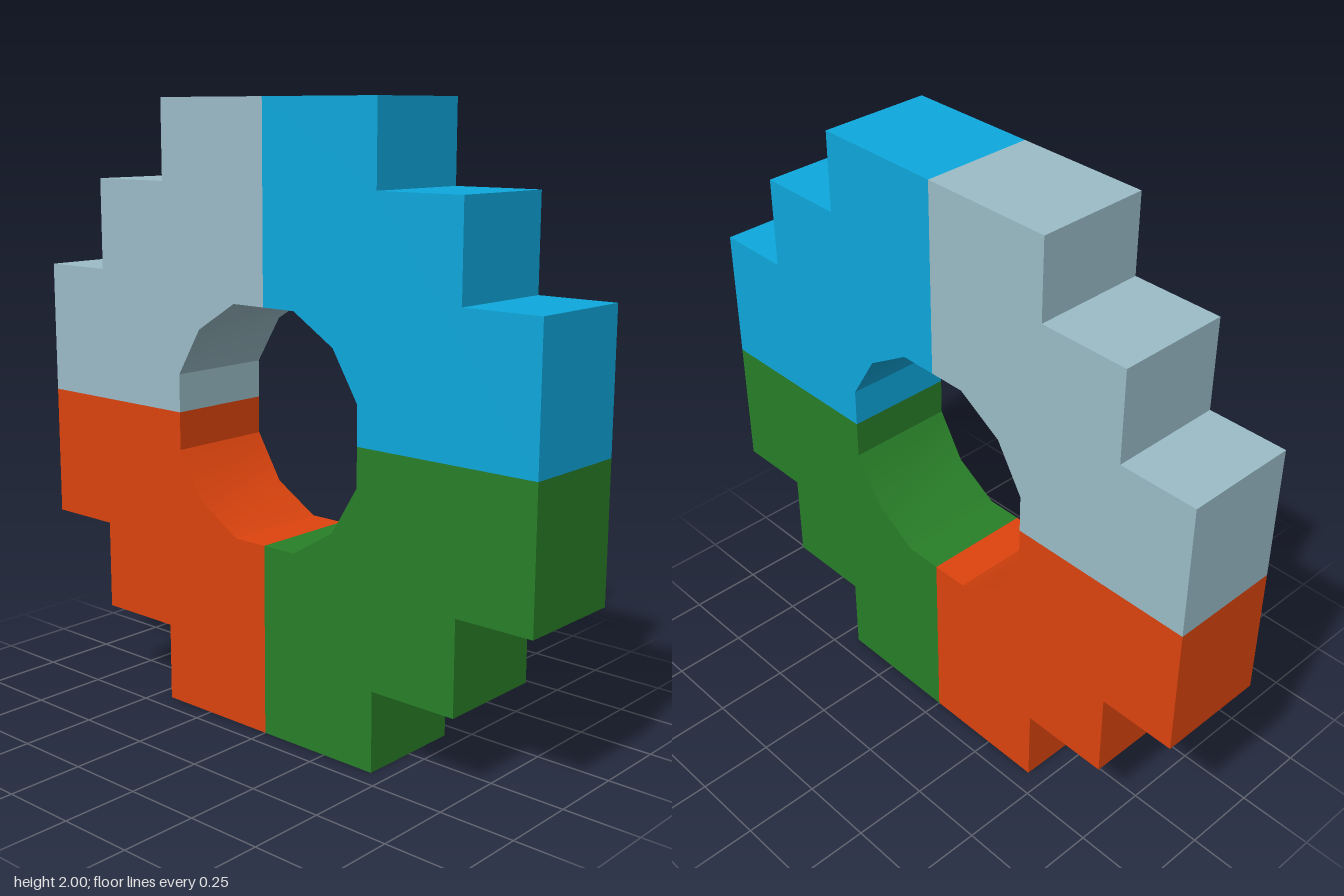
import * as THREE from 'three';
import { toCreasedNormals } from 'three/addons/utils/BufferGeometryUtils.js';

const DEPTH = 0.37;

// Outline of one quarter: stepped outer edge, then the faceted bore
const QUARTER = [
  [0.375, 0], [1, 0], [1, 0.44], [0.74, 0.44], [0.74, 0.74], [0.44, 0.74],
  [0.44, 1], [0, 1], [0, 0.375], [0.125, 0.375], [0.28, 0.28], [0.375, 0.125],
];

// Mirror the quarter outline into the quadrant given by the signs and extrude it
function makeQuarter(name, sx, sy, color) {
  const shape = new THREE.Shape(QUARTER.map(([x, y]) => new THREE.Vector2(x * sx, y * sy)));
  const extruded = new THREE.ExtrudeGeometry(shape, { depth: DEPTH, bevelEnabled: false });
  extruded.translate(0, 1, -DEPTH / 2);
  // Only the gentle facets in the bore are smoothed
  const geometry = toCreasedNormals(extruded, THREE.MathUtils.degToRad(30));
  const mesh = new THREE.Mesh(geometry, new THREE.MeshStandardMaterial({ color }));
  mesh.name = name;
  return mesh;
}

export function createModel() {
  const group = new THREE.Group();
  group.name = 'steppedRing';
  group.add(
    makeQuarter('upperLeftQuarter', 1, 1, 0x0ea8dd),
    makeQuarter('upperRightQuarter', -1, 1, 0x9bbcc7),
    makeQuarter('lowerLeftQuarter', 1, -1, 0x287f28),
    makeQuarter('lowerRightQuarter', -1, -1, 0xdd440e),
  );
  return group;
}
